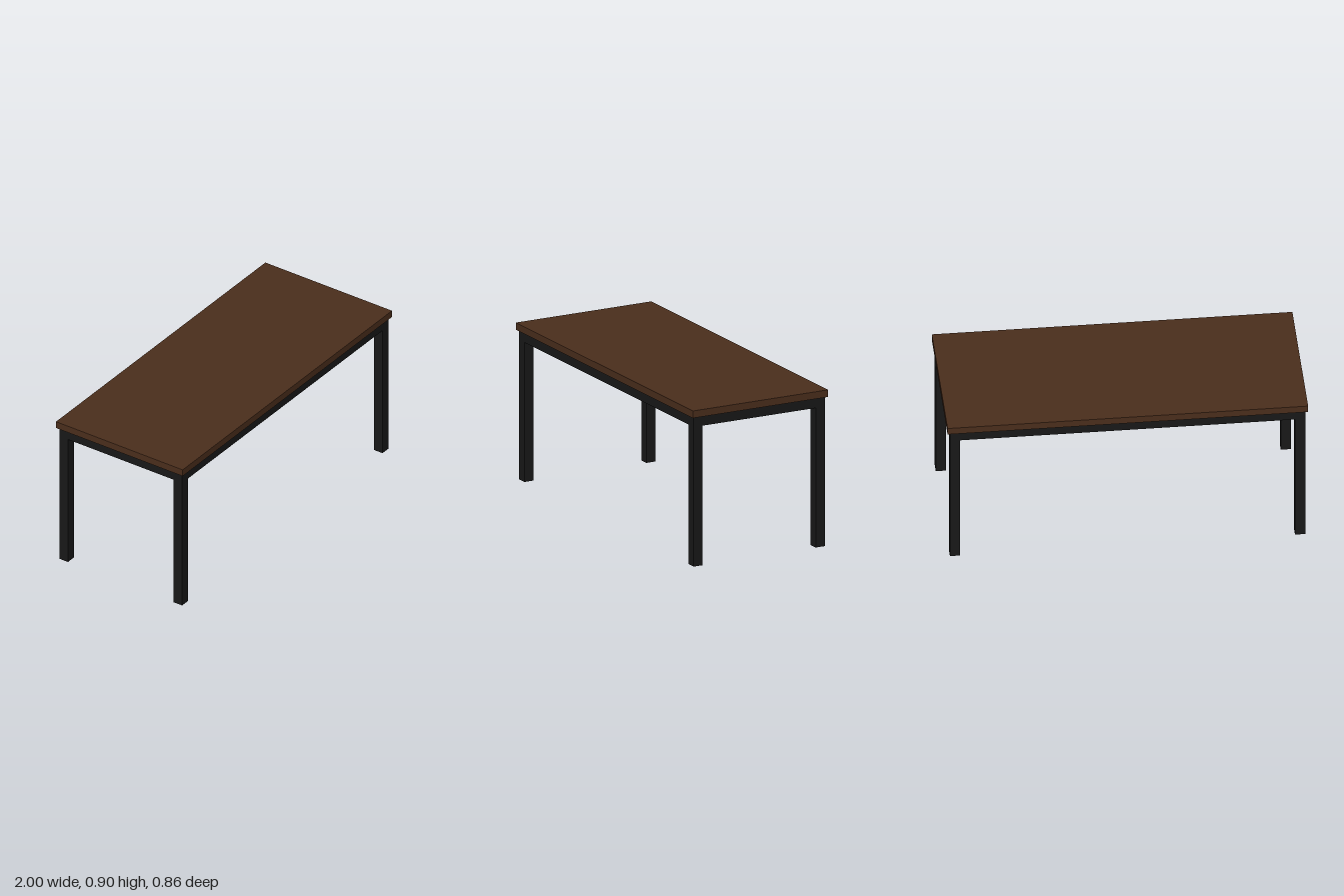
import * as THREE from 'three';

export function createModel() {
  const table = new THREE.Group();
  table.name = 'table';
  const wood = new THREE.MeshStandardMaterial({ color: 0x4b2e1c });
  const metal = new THREE.MeshStandardMaterial({ color: 0x181818 });

  const bar = 0.057;                    // square section of the frame
  const height = 0.9, slab = 0.041;
  const under = height - slab;          // underside of the top
  const legX = 0.957, legZ = 0.386;     // leg centre lines

  const addBox = (name, material, [w, h, d], [x, y, z]) => {
    const mesh = new THREE.Mesh(new THREE.BoxGeometry(w, h, d), material);
    mesh.name = name;
    mesh.position.set(x, y, z);
    table.add(mesh);
  };

  addBox('tableTop', wood, [2, slab, 0.856], [0, height - slab / 2, 0]);

  // Four corner legs
  for (const [sx, side] of [[1, 'Left'], [-1, 'Right']]) {
    for (const [sz, end] of [[1, 'front'], [-1, 'back']]) {
      addBox(`${end}${side}Leg`, metal, [bar, under, bar], [sx * legX, under / 2, sz * legZ]);
    }
  }

  // Rails between the legs, flush with their faces
  const railY = under - bar / 2;
  for (const s of [1, -1]) {
    addBox(s > 0 ? 'frontRail' : 'backRail', metal, [2 * legX - bar, bar, bar], [0, railY, s * legZ]);
    addBox(s > 0 ? 'leftRail' : 'rightRail', metal, [bar, bar, 2 * legZ - bar], [s * legX, railY, 0]);
  }
  return table;
}
